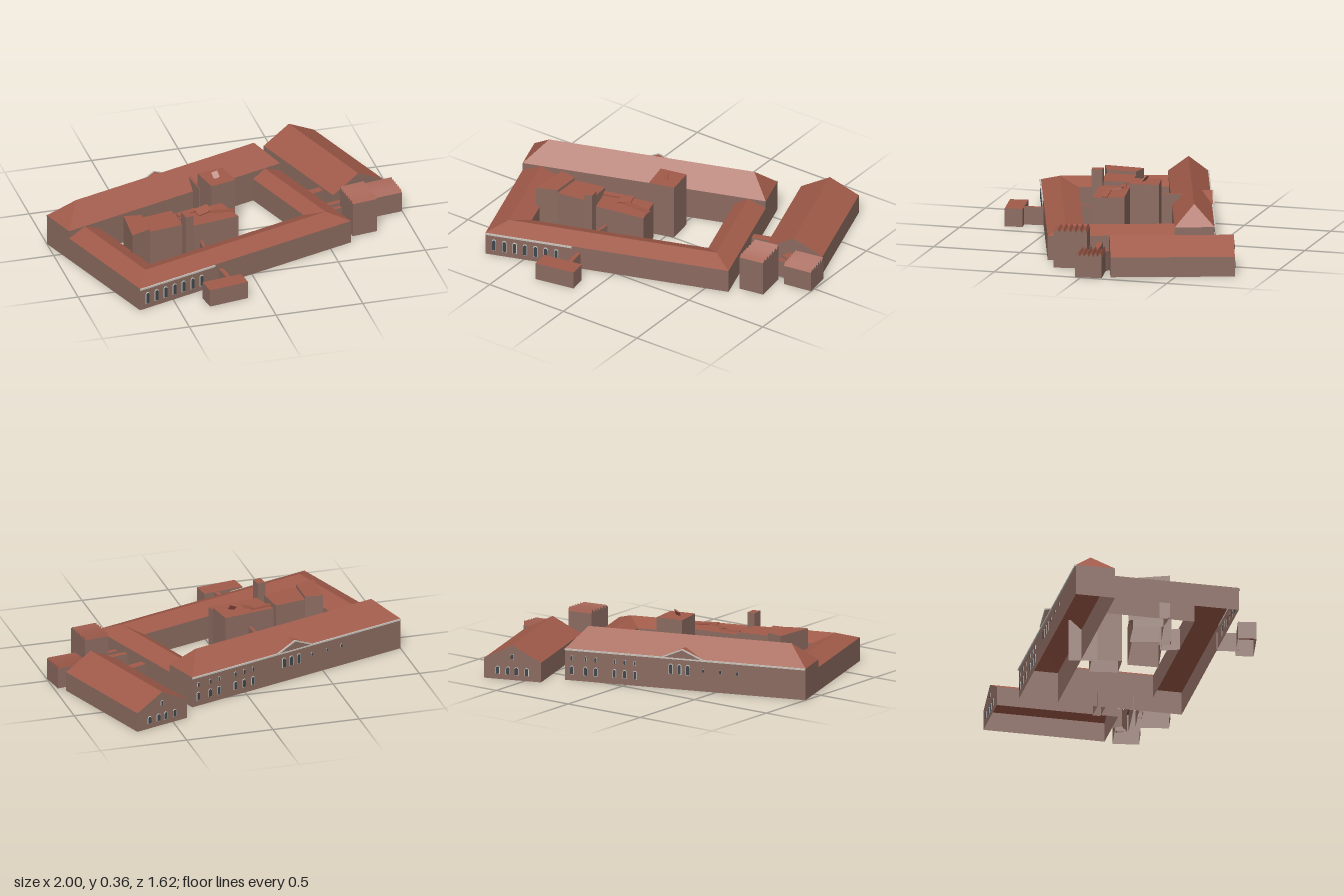
import * as THREE from 'three';

const mat = (name, color) => {
  const m = new THREE.MeshStandardMaterial({ color, side: THREE.DoubleSide });
  m.name = name;
  return m;
};

export function createModel() {
  const wallMat = mat('brown wall', 0x8b6b60);
  const roofMat = mat('red tile', 0xa05a49);
  const trimMat = mat('pale trim', 0xc9c4bc);
  const glassMat = mat('dark glass', 0x3d474d);

  const model = new THREE.Group();
  model.name = 'courtyardComplex';

  // Flat polygons, each turned to face away from the centre of its solid
  function facesMesh(name, polys, material, centre) {
    const pos = [];
    for (const poly of polys) {
      const p = poly.map(a => new THREE.Vector3(...a));
      const mid = p.reduce((s, q) => s.add(q), new THREE.Vector3()).divideScalar(p.length);
      const n = p[1].clone().sub(p[0]).cross(p[2].clone().sub(p[0]));
      if (n.dot(mid.sub(centre)) < 0) p.reverse();
      for (let i = 1; i < p.length - 1; i++)
        for (const q of [p[0], p[i], p[i + 1]]) pos.push(q.x, q.y, q.z);
    }
    const g = new THREE.BufferGeometry();
    g.setAttribute('position', new THREE.Float32BufferAttribute(pos, 3));
    g.computeVertexNormals();
    const m = new THREE.Mesh(g, material);
    m.name = name;
    return m;
  }
  function solid(parent, name, walls, roofs) {
    const all = [...walls, ...roofs].flat();
    const c = new THREE.Vector3();
    all.forEach(a => c.add(new THREE.Vector3(...a)));
    c.divideScalar(all.length);
    const g = new THREE.Group();
    g.name = name;
    if (walls.length) g.add(facesMesh(name + 'Walls', walls, wallMat, c));
    if (roofs.length) g.add(facesMesh(name + 'Roof', roofs, roofMat, c));
    parent.add(g);
  }
  // Vertical wall between two plan points
  const wall = (a, b, h) => [[a[0], 0, a[1]], [b[0], 0, b[1]], [b[0], h, b[1]], [a[0], h, a[1]]];
  const ring = (pts, h) => pts.map((p, i) => wall(p, pts[(i + 1) % pts.length], h));
  const block = (parent, name, pts, h) =>
    solid(parent, name, ring(pts, h), [pts.map(p => [p[0], h, p[1]])]);
  // Narrow passage between two plan points
  function passage(name, a, b, w, h) {
    const d = new THREE.Vector2(b[0] - a[0], b[1] - a[1]).normalize().multiplyScalar(w / 2);
    block(model, name, [[a[0] - d.y, a[1] + d.x], [b[0] - d.y, b[1] + d.x],
      [b[0] + d.y, b[1] - d.x], [a[0] + d.y, a[1] - d.x]], h);
  }

  // The main ranges share one rotated frame: x along the back range, z towards the front
  const main = new THREE.Group();
  main.name = 'mainRanges';
  main.position.set(-1, 0, -0.14);
  main.rotation.y = 0.317;
  model.add(main);
  const L = 1.41, W = 0.927, D = 0.222;

  // Tall back range with hipped roof
  const e = 0.18, r = 0.29, ra = [0.12, r, 0.111], rb = [L - 0.1, r, 0.111];
  solid(main, 'backRange', ring([[0, 0], [L, 0], [L, D], [0, D]], e), [
    [[0, e, 0], [L, e, 0], rb, ra], [[0, e, D], [L, e, D], rb, ra],
    [[0, e, 0], [0, e, D], ra], [[L, e, 0], [L, e, D], rb]]);

  // Three lower ranges round the courtyard, mitred at the corners
  const le = 0.135, lr = 0.178;
  const outer = [[0, D], [0, W], [L, W], [L, D]];
  const ridge = [[0.105, D], [0.105, 0.825], [1.308, 0.825], [1.308, D]];
  const inner = [[0.206, D], [0.206, 0.722], [1.23, 0.722], [1.23, D]];
  ['rightRange', 'frontRange', 'leftRange'].forEach((name, i) => {
    const at = (list, k, y) => [list[k][0], y, list[k][1]];
    const slope = list => [at(list, i, le), at(list, i + 1, le), at(ridge, i + 1, lr), at(ridge, i, lr)];
    solid(main, name, [wall(outer[i], outer[i + 1], le), wall(inner[i], inner[i + 1], le)],
      [slope(outer), slope(inner)]);
  });

  // Gabled hall
  const u0 = 1.517, u1 = 1.852, um = 1.685, v0 = -0.1, v1 = 0.59, he = 0.112, hr = 0.2;
  const gable = v => [[u0, 0, v], [u1, 0, v], [u1, he, v], [um, hr, v], [u0, he, v]];
  solid(main, 'hall', [gable(v0), gable(v1), wall([u0, v0], [u0, v1], he), wall([u1, v0], [u1, v1], he)],
    [u0, u1].map(u => [[u, he, v0], [u, he, v1], [um, hr, v1], [um, hr, v0]]));

  // Small pediment in the middle of the back facade
  const apex = [0.72, 0.232, -0.006], root = [0.72, 0.232, 0.055];
  solid(main, 'pediment', [[[0.6, e, -0.006], [0.84, e, -0.006], apex]],
    [0.6, 0.84].map(u => [[u, e, -0.006], apex, root, [u, e, 0.005]]));

  // Pale eaves
  function strip(name, x, y, z, w, h, tilt = 0) {
    const m = new THREE.Mesh(new THREE.BoxGeometry(w, h, 0.008), trimMat);
    m.name = name;
    m.position.set(x, y, z);
    m.rotation.z = tilt;
    main.add(m);
  }
  strip('backEaves', L / 2, e - 0.004, -0.003, L, 0.009);
  strip('frontEaves', 0.25, le - 0.005, W + 0.003, 0.5, 0.01);
  for (const s of [-1, 1])
    strip('pedimentEdge', 0.72 + s * 0.06, 0.206, -0.009, 0.13, 0.007, -s * 0.41);

  // Arched windows: pale frame with dark glass in front
  function arch(w, h, depth) {
    const s = new THREE.Shape();
    s.moveTo(-w / 2, 0);
    s.lineTo(w / 2, 0);
    s.lineTo(w / 2, h - w / 2);
    s.absarc(0, h - w / 2, w / 2, 0, Math.PI, false);
    s.closePath();
    return new THREE.ExtrudeGeometry(s, { depth, bevelEnabled: false, curveSegments: 5 });
  }
  function window_(x, y, z, w, h, back) {
    const g = new THREE.Group();
    g.name = 'archedWindow';
    const frame = new THREE.Mesh(arch(w, h, 0.003), trimMat);
    const glass = new THREE.Mesh(arch(w * 0.75, h * 0.88, 0.005), glassMat);
    frame.name = 'windowFrame';
    glass.name = 'windowGlass';
    glass.position.y = h * 0.04;
    g.add(frame, glass);
    g.position.set(x, y, z);
    if (back) g.rotation.y = Math.PI;
    main.add(g);
  }
  for (let i = 0; i < 7; i++) window_(0.05 + i * 0.06, 0.03, W, 0.025, 0.07, false);
  for (const u of [1.37, 1.29, 1.23, 1.12, 1.06, 1.0]) {
    window_(u, 0.035, 0, 0.022, 0.05, true);
    window_(u, 0.115, 0, 0.014, 0.028, true);
  }
  for (const u of [0.79, 0.74, 0.69]) window_(u, 0.085, 0, 0.025, 0.06, true);
  for (const u of [0.6, 0.5, 0.4]) window_(u, 0.11, 0, 0.012, 0.02, true);
  for (const u of [1.6, 1.66, 1.71, 1.77]) window_(u, 0.03, v0, 0.025, 0.045, true);
  window_(um, 0.12, v0, 0.02, 0.03, true);

  // Courtyard buildings
  block(model, 'courtyardEndBlock', [[-0.63, 0.12], [-0.53, 0.135], [-0.53, 0.305], [-0.645, 0.35]], 0.257);
  block(model, 'courtyardLongBlock', [[-0.53, 0.135], [-0.35, 0.1], [-0.33, 0.275], [-0.53, 0.305]], 0.24);
  block(model, 'courtyardMiddleBlock', [[-0.34, 0.11], [-0.05, 0.06], [0, 0.23], [-0.29, 0.275]], 0.222);
  block(model, 'chimneyTower', [[-0.34, 0.265], [-0.295, 0.26], [-0.285, 0.32], [-0.33, 0.33]], 0.313);
  block(model, 'courtyardTower', [[-0.135, -0.13], [0.02, -0.16], [0.045, 0], [-0.1, 0.035]], 0.322);

  // Loose tilted roof plates
  function plate(name, x, y, z, w, d, rx, ry, rz) {
    const m = new THREE.Mesh(new THREE.BoxGeometry(w, 0.008, d), roofMat);
    m.name = name;
    m.position.set(x, y, z);
    m.rotation.set(rx, ry, rz);
    model.add(m);
  }
  plate('towerVent', -0.05, 0.337, -0.06, 0.035, 0.04, 0.9, 0.2, 0.3);
  plate('roofPlate', -0.18, 0.238, 0.14, 0.08, 0.06, 0.2, 0.2, 0.15);
  plate('roofPlate', -0.08, 0.235, 0.17, 0.15, 0.03, -0.15, 0.1, -0.1);
  plate('roofPlate', -0.27, 0.232, 0.13, 0.12, 0.03, 0.1, 0.25, 0);

  // Outlying front block and passages
  block(model, 'frontAnnex', [[-0.34, 0.702], [-0.11, 0.667], [-0.095, 0.767], [-0.325, 0.805]], 0.102);
  passage('annexPassage', [-0.2, 0.57], [-0.18, 0.69], 0.025, 0.1);
  passage('courtyardPassage', [-0.225, 0.26], [-0.23, 0.37], 0.015, 0.12);
  passage('towerPassage', [-0.145, -0.26], [-0.125, -0.1], 0.018, 0.24);
  passage('hallPassage', [0.48, -0.13], [0.6, -0.17], 0.045, 0.1);
  passage('pavilionPassage', [0.54, 0.025], [0.83, -0.03], 0.032, 0.1);
  passage('pavilionLink', [0.76, -0.07], [0.83, -0.05], 0.06, 0.11);
  passage('sideLink', [0.58, 0.08], [0.66, 0.06], 0.025, 0.1);

  // Pavilions with sawtooth roofs; corners run back left, back right, front right, front left
  function pavilion(name, [a, b, c, d], h, rise) {
    const n = 6, walls = ring([a, b, c, d], h), roofs = [];
    const mix = (p, q, t, y) => [p[0] + (q[0] - p[0]) * t, y, p[1] + (q[1] - p[1]) * t];
    for (let i = 0; i < n; i++) {
      const t0 = i / n, t1 = (i + 1) / n;
      const top = h + rise * (1 - 0.4 * t0);
      const [l0, r0, l1, r1] = [mix(a, d, t0, h), mix(b, c, t0, h), mix(a, d, t1, h), mix(b, c, t1, h)];
      const lp = mix(a, d, t0 + 0.25 / n, top), rp = mix(b, c, t0 + 0.25 / n, top);
      roofs.push([l0, r0, rp, lp], [lp, rp, r1, l1]);
      walls.push([l0, lp, l1], [r0, rp, r1]);
    }
    solid(model, name, walls, roofs);
  }
  pavilion('outerPavilion', [[0.81, -0.088], [0.978, -0.116], [0.998, 0.032], [0.83, 0.055]], 0.118, 0.026);
  pavilion('tallPavilion', [[0.635, 0.055], [0.778, 0.03], [0.802, 0.215], [0.658, 0.237]], 0.202, 0.024);

  return model;
}
